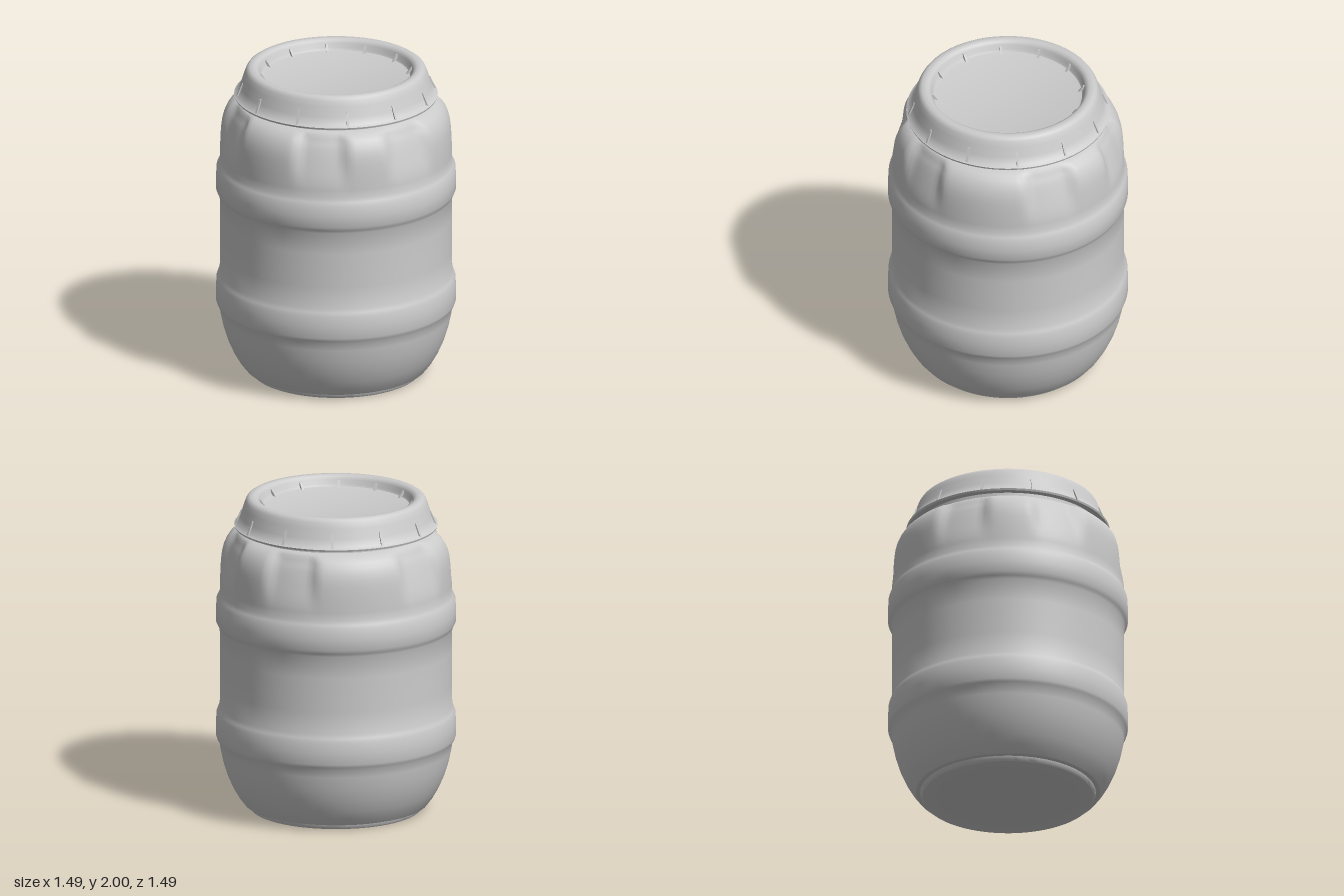
import * as THREE from 'three';
import { mergeVertices, toCreasedNormals } from 'three/addons/utils/BufferGeometryUtils.js';

const material = new THREE.MeshStandardMaterial({ color: 0xcccccc, side: THREE.DoubleSide });
const points = (list) => list.map(([r, y]) => new THREE.Vector2(r, y));
const smooth = THREE.MathUtils.smoothstep;

function addMesh(parent, name, geometry) {
  const mesh = new THREE.Mesh(geometry, material);
  mesh.name = name;
  parent.add(mesh);
  return mesh;
}

// Revolved profile with welded seam and creased edges
function revolve(profile, segments, deform) {
  let geo = new THREE.LatheGeometry(points(profile), segments);
  if (deform) deform(geo.attributes.position);
  geo.deleteAttribute('uv');
  geo.deleteAttribute('normal');
  geo = mergeVertices(geo, 1e-4);
  return toCreasedNormals(geo, 0.7);
}

// Shallow hand recesses pressed into the shoulder, centred on these angles
const recessAngles = [6, 79, 130, 203, 254, 317];
function pressRecesses(pos) {
  for (let i = 0; i < pos.count; i++) {
    const x = pos.getX(i), y = pos.getY(i), z = pos.getZ(i);
    const height = smooth(y, 1.42, 1.7) * (1 - smooth(y, 1.75, 1.79));
    if (height === 0) continue;
    const angle = THREE.MathUtils.radToDeg(Math.atan2(x, z));
    let side = 0;
    for (const c of recessAngles) {
      const d = Math.abs(THREE.MathUtils.euclideanModulo(angle - c + 180, 360) - 180);
      side = Math.max(side, 1 - smooth(d, 9, 16));
    }
    const k = 1 - 0.06 * height * side;
    pos.setXYZ(i, x * k, y, z * k);
  }
}

export function createModel() {
  const barrel = new THREE.Group();
  barrel.name = 'barrel';

  // Body: foot, rounded base, two hoops, shoulder and neck
  addMesh(barrel, 'body', revolve([
    [0, 0.005], [0.52, 0.005], [0.53, 0], [0.54, 0.01], [0.545, 0.03], [0.57, 0.035],
    [0.605, 0.08], [0.64, 0.14], [0.675, 0.22], [0.7, 0.3], [0.717, 0.38], [0.725, 0.43],
    [0.738, 0.45], [0.745, 0.47], [0.745, 0.54], [0.742, 0.61], [0.733, 0.635], [0.722, 0.66],
    [0.72, 0.8], [0.72, 1.02], [0.722, 1.16], [0.733, 1.18], [0.745, 1.205], [0.745, 1.27],
    [0.742, 1.34], [0.73, 1.365], [0.72, 1.39], [0.72, 1.44], [0.719, 1.48], [0.718, 1.52],
    [0.716, 1.56], [0.713, 1.6], [0.708, 1.64], [0.698, 1.68], [0.683, 1.715], [0.663, 1.745],
    [0.635, 1.77], [0.605, 1.783], [0.58, 1.79], [0.575, 1.85],
  ], 144, pressRecesses));

  // Lid: flared skirt, rounded rim and sunken centre panel
  const lid = new THREE.Group();
  lid.name = 'lid';
  barrel.add(lid);
  addMesh(lid, 'lidShell', revolve([
    [0.56, 1.83], [0.59, 1.81], [0.628, 1.81], [0.632, 1.822], [0.61, 1.835], [0.592, 1.88],
    [0.573, 1.94], [0.56, 1.975], [0.55, 1.99], [0.535, 2], [0.505, 2], [0.488, 1.992],
    [0.477, 1.975], [0.47, 1.95], [0.46, 1.935], [0.44, 1.93], [0, 1.93],
  ], 96));

  // Small triangular ribs around the skirt and inside the rim
  const ribGeometry = (corners) => {
    const geo = new THREE.ExtrudeGeometry(new THREE.Shape(points(corners)),
      { depth: 0.014, bevelEnabled: false });
    return geo.translate(0, 0, -0.007);
  };
  const skirtRib = ribGeometry([[0.58, 1.825], [0.624, 1.825], [0.588, 1.91], [0.57, 1.91]]);
  const rimRib = ribGeometry([[0.435, 1.925], [0.48, 1.925], [0.48, 1.972], [0.468, 1.972]]);
  for (let i = 0; i < 12; i++) {
    const angle = i * Math.PI / 6 + 0.03;
    addMesh(lid, 'skirtRib', skirtRib).rotation.y = angle;
    addMesh(lid, 'rimRib', rimRib).rotation.y = angle;
  }
  return barrel;
}
